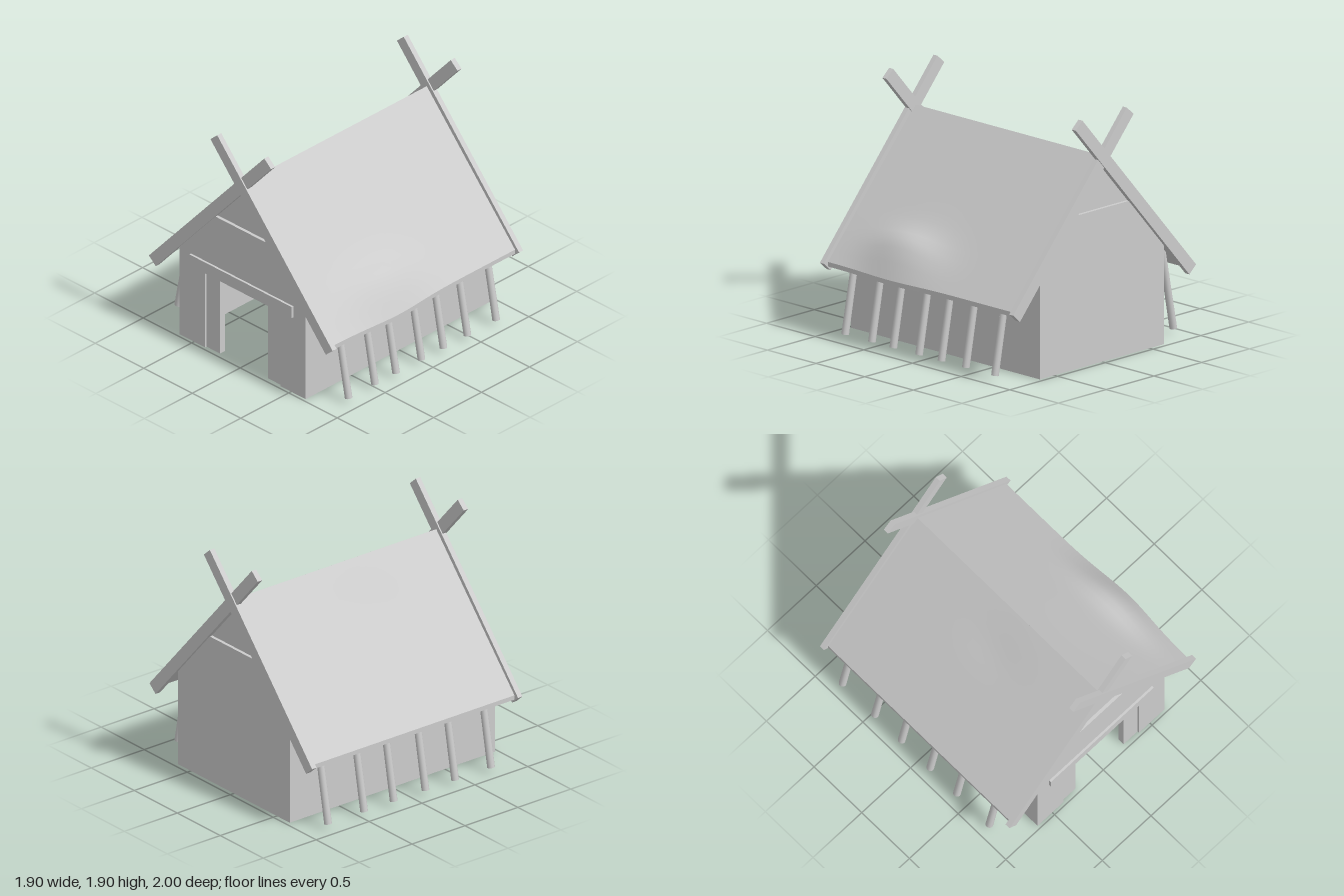
import * as THREE from 'three';

const material = new THREE.MeshStandardMaterial({ color: 0xcccccc, side: THREE.DoubleSide });

export function createModel() {
  const house = new THREE.Group();
  house.name = 'longhouse';

  function add(name, geometry, x = 0, y = 0, z = 0) {
    const mesh = new THREE.Mesh(geometry, material);
    mesh.name = name;
    mesh.position.set(x, y, z);
    house.add(mesh);
    return mesh;
  }
  const box = (name, w, h, d, x, y, z) => add(name, new THREE.BoxGeometry(w, h, d), x, y, z);

  // Flat panel from an outline, occupying z to z + depth
  function panel(name, points, z, depth) {
    const shape = new THREE.Shape(points.map(([x, y]) => new THREE.Vector2(x, y)));
    add(name, new THREE.ExtrudeGeometry(shape, { depth, bevelEnabled: false }), 0, 0, z);
  }

  // Height of the roof underside, used to trim the end walls
  const slope = 1.115;
  const under = (x) => 1.54 - slope * Math.abs(x);
  const split = 1.17;
  const splitX = (1.54 - split) / slope;
  const W = 0.65;

  // End walls: a lower part and a slightly recessed gable above it
  const wallTop = [[W, under(W)], [splitX, split], [-splitX, split], [-W, under(W)]];
  const gable = [[-splitX, split], [splitX, split], [0, 1.54]];
  panel('backWall', [[-W, 0], [W, 0], ...wallTop], -0.965, 0.04);
  panel('frontWall', [
    [0.39, 0], [W, 0], ...wallTop, [-W, 0], [-0.385, 0], [-0.385, 0.66], [0.39, 0.66],
  ], 0.935, 0.04);
  panel('backGable', gable, -0.94, 0.03);
  panel('frontGable', gable, 0.92, 0.03);

  // Long side walls
  for (const s of [-1, 1]) {
    box(s > 0 ? 'leftWall' : 'rightWall', 0.04, under(W), 1.86, s * (W - 0.02), under(W) / 2, 0.005);
  }

  // Doorway posts and lintel
  box('doorPost', 0.15, 0.66, 0.05, -0.322, 0.33, 0.935);
  box('doorPost', 0.15, 0.66, 0.05, 0.321, 0.33, 0.935);
  box('lintel', 1.055, 0.095, 0.05, -0.003, 0.697, 0.968);

  // Roof slabs; the +x side swells near the eave, the other sags a little
  for (const s of [-1, 1]) {
    const g = new THREE.BoxGeometry(0.91, 0.035, 1.91, 16, 1, 24);
    g.translate(s * 0.455, 1.5575, 0);
    const p = g.attributes.position;
    for (let i = 0; i < p.count; i++) {
      const x = p.getX(i), z = p.getZ(i), a = Math.abs(x);
      let dx = 0, dy = 0;
      if (s > 0) {
        const along = Math.exp(-(((z - 0.3) / 0.34) ** 2));
        dx = 0.035 * along * (a / 0.91) ** 3;
        dy = 0.1 * along * Math.exp(-(((a - 0.78) / 0.12) ** 2)) - 0.03 * along * (a / 0.91) ** 12;
      } else {
        dy = -0.012 * Math.exp(-(((a - 0.25) / 0.12) ** 2) - ((z - 0.1) / 0.25) ** 2);
      }
      p.setXYZ(i, x + dx, p.getY(i) - slope * a + dy, z);
    }
    g.computeVertexNormals();
    add(s > 0 ? 'leftRoof' : 'rightRoof', g);
  }

  // Crossed boards at both gable ends
  const angle = Math.atan2(1.343, 1.189);
  for (const end of [-1, 1]) {
    for (const s of [-1, 1]) {
      const z = end * 0.973 + s * 0.005;
      const board = box('gableBoard', 1.794, 0.094, 0.042, s * 0.322, 1.194, z);
      board.rotation.z = -s * angle;
    }
  }

  // Leaning props under the eaves
  const props = {
    1: [0.785, 0.51, 0.29, 0.025, -0.205, -0.455, -0.755],
    [-1]: [0.73, 0.39, 0.11, -0.19, -0.47, -0.81],
  };
  const up = new THREE.Vector3(0, 1, 0);
  for (const s of [-1, 1]) {
    for (const z of props[s]) {
      const foot = new THREE.Vector3(s * 0.905, 0.04, z);
      const head = new THREE.Vector3(s * 0.785, 0.665, z);
      const dir = head.clone().sub(foot);
      const pole = add('eaveProp', new THREE.CylinderGeometry(0.027, 0.029, dir.length(), 12));
      pole.position.copy(foot).add(head).multiplyScalar(0.5);
      pole.quaternion.setFromUnitVectors(up, dir.normalize());
    }
  }

  return house;
}
